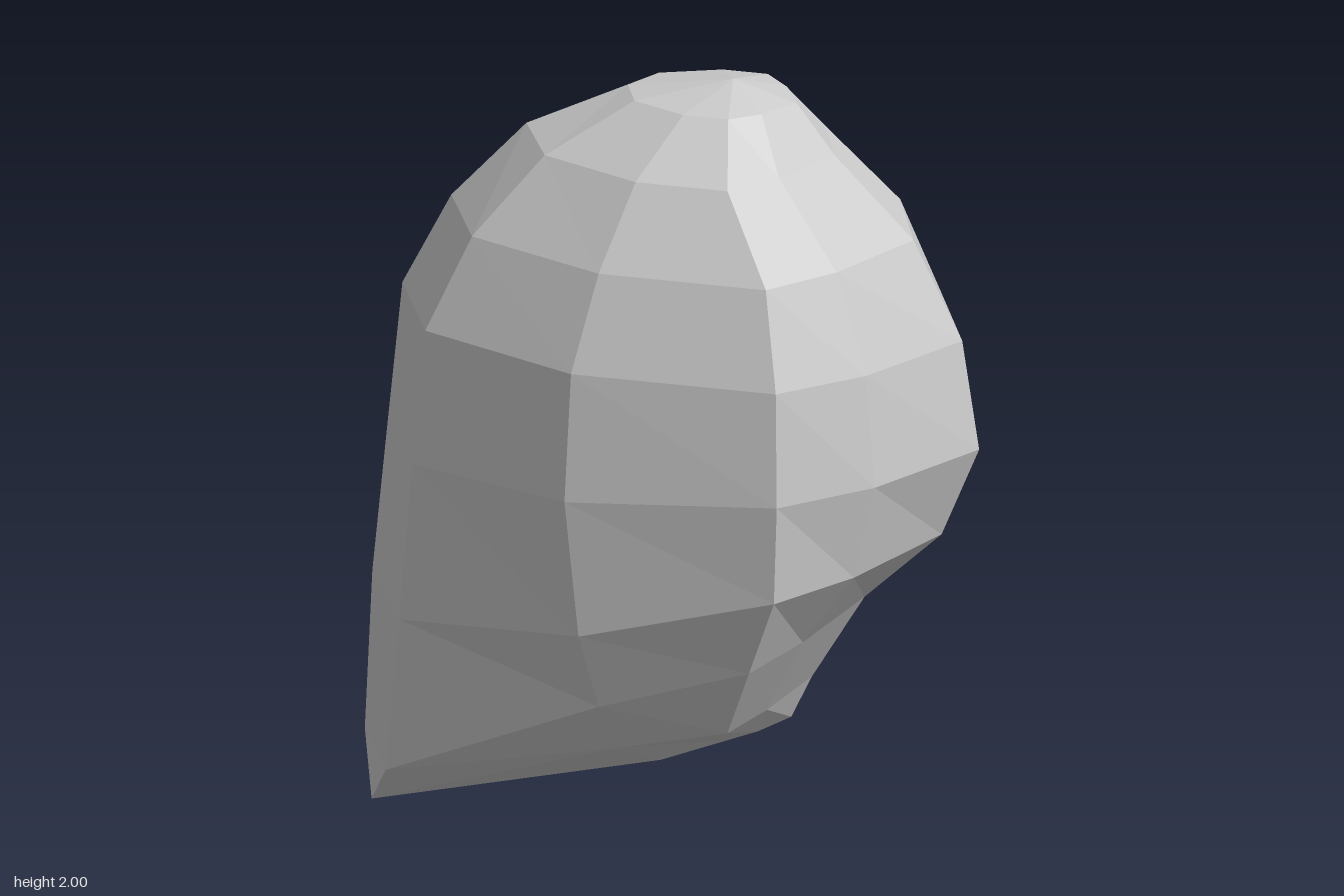
import * as THREE from 'three';

// Half-widths (z) of the nine rings, from top to bottom
const halfWidth = [0.18, 0.34, 0.47, 0.55, 0.575, 0.55, 0.47, 0.34, 0.18];
const crown = [0.16, 2, 0];
const base = [0.15, 0.215, 0];

// Meridians as [x, y] from top to bottom, going from the +x ridge to the -x ridge
const leftRidge = [[0.33, 1.95], [0.43, 1.82], [0.64, 1.61], [0.77, 1.35], [0.815, 1.06],
  [0.715, 0.82], [0.51, 0.63], [0.37, 0.40], [0.315, 0.285]];
const leftSide = [[0.2, 1.955], [0.245, 1.82], [0.385, 1.61], [0.435, 1.36], [0.445, 1.06],
  [0.43, 0.79], [0.34, 0.565], [0.245, 0.35], [0.195, 0.27]];
const middle = [[0.08, 1.955], [0, 1.82], [-0.06, 1.61], [-0.11, 1.36], [-0.12, 1.02],
  [-0.09, 0.65], [-0.06, 0.435], [-0.05, 0.28], [0.02, 0.2]];
const rightSide = [[-0.07, 1.955], [-0.28, 1.82], [-0.45, 1.61], [-0.56, 1.36], [-0.59, 1.0],
  [-0.63, 0.57], [-0.68, 0.14], [-0.755, 0.01], [-0.3, 0.13]];
const rightRidge = [[-0.12, 1.955], [-0.39, 1.825], [-0.59, 1.61], [-0.72, 1.36], [-0.76, 0.97],
  [-0.8, 0.57], [-0.82, 0.14], [-0.765, 0], [-0.3, 0.13]];
// Bevel between the +x ridge and the side
const bevel = leftRidge.map(([x, y], i) => [
  THREE.MathUtils.lerp(leftSide[i][0], x, 0.53),
  THREE.MathUtils.lerp(leftSide[i][1], y, 0.5),
]);

const half = [leftRidge, bevel, leftSide, middle, rightSide, rightRidge];
const spread = [0, 0.615, 1, 1, 0.615, 0];

function buildShell() {
  // Full loop of columns: front half, then the mirrored back half
  const columns = [];
  const addColumn = (c, side) => columns.push(
    half[c].map(([x, y], i) => [x, y, side * spread[c] * halfWidth[i]]));
  for (let c = 0; c < 6; c++) addColumn(c, 1);
  for (let c = 4; c > 0; c--) addColumn(c, -1);

  // Uneven tip at the low corner
  columns[4][7][2] = 0.16;
  columns[6][7][2] = -0.27;

  const positions = [];
  const tri = (a, b, c) => positions.push(...a, ...b, ...c);
  columns.forEach((col, j) => {
    const next = columns[(j + 1) % columns.length];
    const last = col.length - 1;
    tri(crown, next[0], col[0]);
    for (let i = 0; i < last; i++) {
      tri(next[i], next[i + 1], col[i + 1]);
      tri(next[i], col[i + 1], col[i]);
    }
    tri(base, col[last], next[last]);
  });

  const geometry = new THREE.BufferGeometry();
  geometry.setAttribute('position', new THREE.Float32BufferAttribute(positions, 3));
  geometry.computeVertexNormals();
  return geometry;
}

export function createModel() {
  const group = new THREE.Group();
  group.name = 'facetedPod';
  const material = new THREE.MeshStandardMaterial({ color: 0xcccccc, flatShading: true });
  const shell = new THREE.Mesh(buildShell(), material);
  shell.name = 'shell';
  group.add(shell);
  return group;
}
